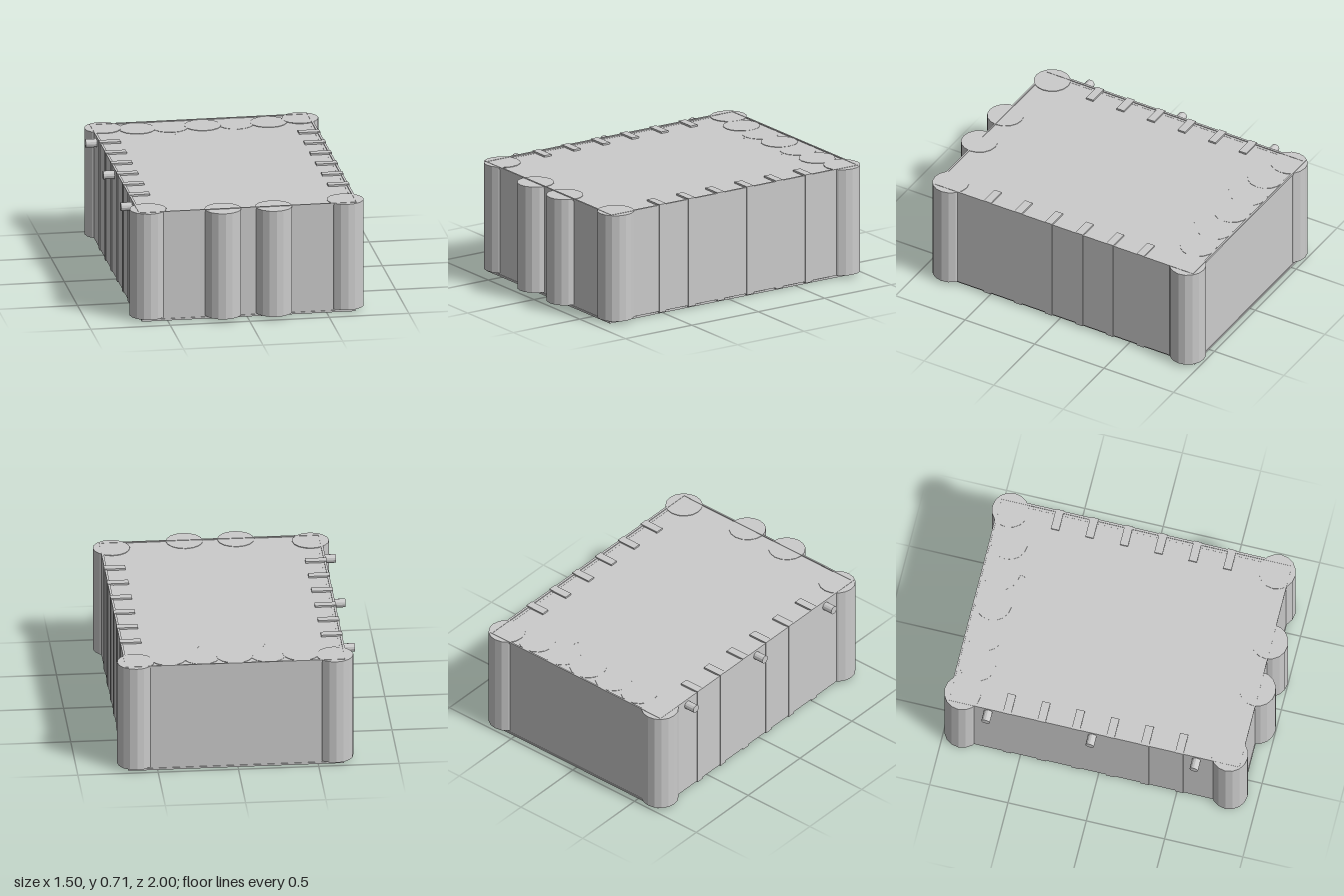
import * as THREE from 'three';

export function createModel() {
  const model = new THREE.Group();
  const material = new THREE.MeshStandardMaterial({ color: 0xcccccc, flatShading: true });

  const add = (name, geometry, x, y, z) => {
    const mesh = new THREE.Mesh(geometry, material);
    mesh.name = name;
    mesh.position.set(x, y, z);
    model.add(mesh);
    return mesh;
  };
  // Box given by its limits on each axis
  const block = (name, [x0, x1], [y0, y1], [z0, z1]) =>
    add(name, new THREE.BoxGeometry(x1 - x0, y1 - y0, z1 - z0),
      (x0 + x1) / 2, (y0 + y1) / 2, (z0 + z1) / 2);
  // Upright faceted column
  const column = (name, x, z, top = 0.706) =>
    add(name, new THREE.CylinderGeometry(0.115, 0.115, top - 0.02, 16), x, (top + 0.02) / 2, z);

  const midX = 0.01;

  // Main case
  block('case', [-0.66, 0.68], [0.002, 0.703], [-0.96, 0.895]);

  // Columns on the four corners
  for (const x of [-0.61, 0.63])
    for (const z of [-0.885, 0.82]) column('cornerColumn', x, z, 0.707);

  // Pair of columns on the front
  for (const x of [-0.15, 0.17]) column('frontColumn', x, 0.885);

  // Row of columns set inside the back wall
  for (let i = 1; i <= 5; i++) column('backColumn', -0.61 + i * 1.24 / 6, -0.84, 0.705 + (i % 2) * 0.001);

  // Side walls with ribs
  for (const side of [-1, 1]) {
    const span = (a, b) => [midX + side * a, midX + side * b].sort((p, q) => p - q);
    block('sideWall', span(0.66, 0.69), [0.02, 0.704], [-0.96, 0.895]);
    for (let i = 0; i < 6; i++) {
      const z = -0.585 + i * 0.22;
      block('sideRib', span(0.56, 0.693), [0.012, 0.714], [z - 0.026, z + 0.026]);
    }
    // Thin edging along the top and bottom
    block('topSideRim', span(0.676, 0.69), [0.695, 0.709], [-0.962, 0.898]);
    block('bottomSideRim', span(0.66, 0.671), [0, 0.012], [-0.962, 0.898]);
  }
  for (const z of [[-0.964, -0.954], [0.889, 0.899]]) {
    block('topEndRim', [-0.68, 0.70], [0.695, 0.709], z);
    block('bottomEndRim', [-0.66, 0.68], [0, 0.012], z);
  }

  // Three pegs on the right side
  for (const z of [-0.705, -0.04, 0.625])
    add('sidePeg', new THREE.CylinderGeometry(0.027, 0.027, 0.1, 12), -0.70, 0.667, z)
      .rotation.z = Math.PI / 2;

  // Small curved ridges under the case and on the lid
  const ridge = new THREE.TorusGeometry(0.03, 0.004, 6, 12, Math.PI * 0.8);
  for (const x of [-0.37, 0.40])
    add('bottomRidge', ridge, x, 0.004, 0.51).rotation.x = Math.PI / 2;
  for (const x of [-0.21, 0.2])
    add('lidRidge', ridge, x, 0.7, -0.71).rotation.set(Math.PI / 2, 0, -Math.PI / 2);

  return model;
}
